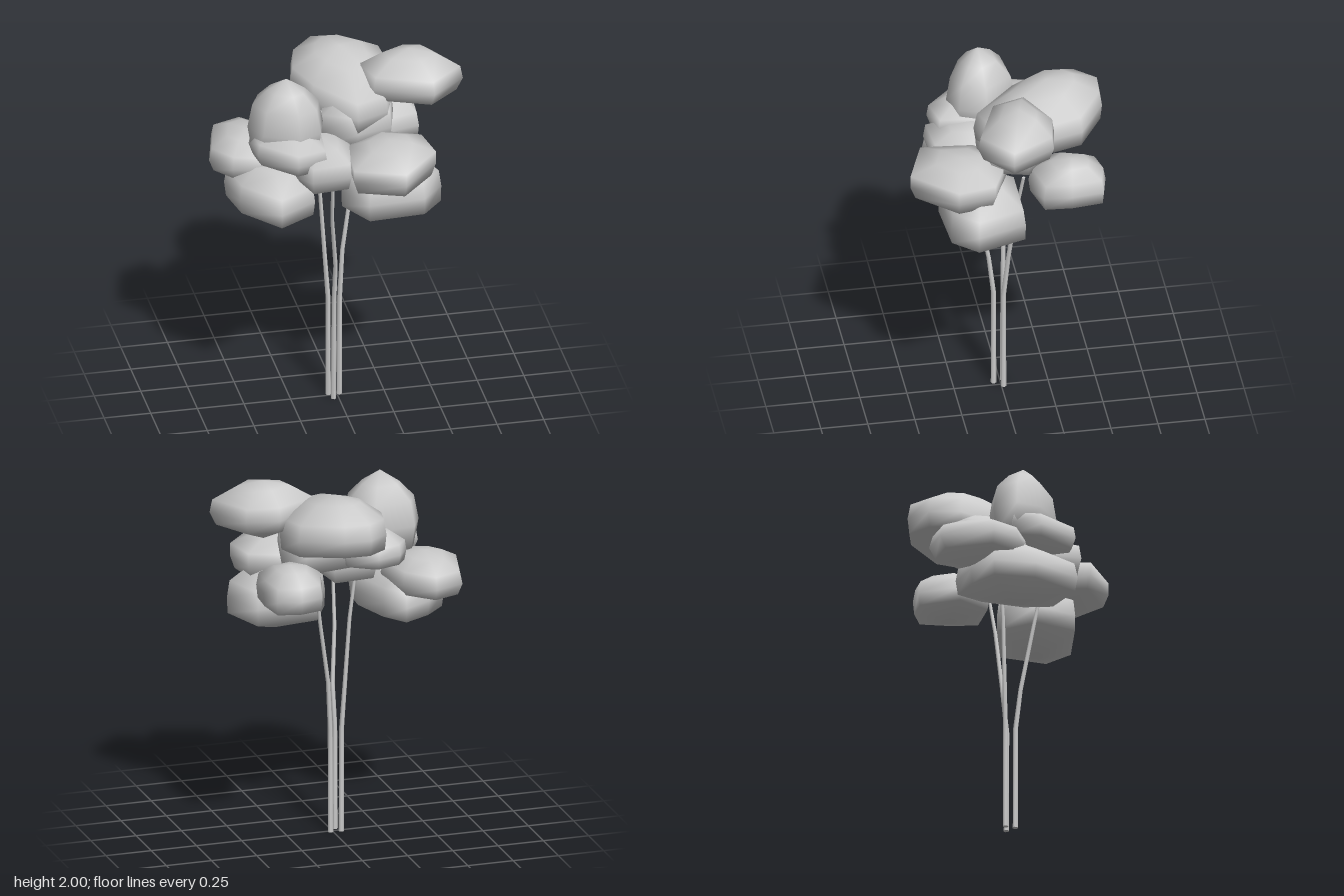
import * as THREE from 'three';

const material = new THREE.MeshStandardMaterial({ color: 0xcccccc });

// Faceted leaf clump: a plan outline [x, z] stacked into rings between two tips.
// y = [bottom, lower ring, upper ring, top]; slope tilts the clump along z,
// cap is how far the small top ring rises towards the tip.
function clump(name, outline, y, { upper = 0.95, lower = 0.92, slope = 0, cap = 0.72 } = {}) {
  const n = outline.length;
  const cx = outline.reduce((s, p) => s + p[0], 0) / n;
  const cz = outline.reduce((s, p) => s + p[1], 0) / n;
  const [bottom, low, high, top] = y;
  const rings = [
    [lower, low],
    [1, low + (high - low) * 0.5],
    [upper, high],
    [0.5, high + (top - high) * cap],
  ];
  const pos = [];
  const index = [];
  for (const [scale, h] of rings) {
    for (const [x, z] of outline) {
      const dz = (z - cz) * scale;
      pos.push(cx + (x - cx) * scale, Math.min(h + slope * dz, top), cz + dz);
    }
  }
  const bottomTip = pos.length / 3;
  pos.push(cx, bottom, cz, cx, top, cz);
  const last = (rings.length - 1) * n;
  for (let i = 0; i < n; i++) {
    const j = (i + 1) % n;
    for (let r = 0; r < last; r += n) {
      index.push(r + i, r + n + i, r + j, r + j, r + n + i, r + n + j);
    }
    index.push(bottomTip, i, j, last + i, bottomTip + 1, last + j);
  }
  const geo = new THREE.BufferGeometry();
  geo.setAttribute('position', new THREE.Float32BufferAttribute(pos, 3));
  geo.setIndex(index);
  geo.computeVertexNormals();
  const mesh = new THREE.Mesh(geo, material);
  mesh.name = name;
  return mesh;
}

// Thin stem: a cylinder whose rings are moved onto the path and tapered.
function stem(name, path) {
  const steps = path.length - 1;
  const geo = new THREE.CylinderGeometry(1, 1, 1, 7, steps);
  const p = geo.attributes.position;
  for (let i = 0; i < p.count; i++) {
    const k = Math.round((p.getY(i) + 0.5) * steps);
    const [x, y, z] = path[k];
    const r = 0.015 - 0.0015 * k;
    p.setXYZ(i, x + p.getX(i) * r, y, z + p.getZ(i) * r);
  }
  geo.computeVertexNormals();
  const mesh = new THREE.Mesh(geo, material);
  mesh.name = name;
  return mesh;
}

export function createModel() {
  const tree = new THREE.Group();
  tree.name = 'tree';

  // Three slender stems spreading towards the crown
  const stems = new THREE.Group();
  stems.name = 'stems';
  stems.add(
    stem('leftStem', [[0.013, 0, -0.012], [0.015, 0.57, -0.01], [0.035, 0.84, -0.035], [0.09, 1.18, -0.07], [0.12, 1.38, -0.1]]),
    stem('frontStem', [[-0.027, 0, 0.035], [-0.025, 0.57, 0.035], [-0.022, 0.8, 0.062], [-0.052, 1.1, 0.12], [-0.06, 1.36, 0.17]]),
    stem('rightStem', [[-0.045, 0, -0.016], [-0.045, 0.57, -0.018], [-0.062, 0.82, -0.022], [-0.085, 1.18, -0.03], [-0.12, 1.52, -0.05]]),
  );

  // Overlapping leaf clumps
  const crown = new THREE.Group();
  crown.name = 'crown';
  crown.add(
    clump('topLeftClump',
      [[0.665, 0.04], [0.48, 0.2], [0.18, 0.08], [0.12, -0.1], [0.36, -0.22], [0.54, -0.19]],
      [1.68, 1.76, 1.9, 2.0], { upper: 0.95, lower: 0.88 }),
    clump('topBackClump',
      [[0.34, -0.15], [0.25, 0.1], [0.08, 0.16], [-0.12, -0.07], [-0.2, -0.25], [-0.16, -0.42], [-0.04, -0.53], [0.1, -0.52], [0.31, -0.38]],
      [1.63, 1.66, 1.83, 1.95], { upper: 0.95, lower: 0.97, slope: -0.12 }),
    clump('innerClump',
      [[0.32, -0.1], [0.27, 0.1], [0.08, 0.15], [-0.1, 0.06], [-0.06, -0.2], [0.22, -0.23]],
      [1.45, 1.52, 1.7, 1.78]),
    // Bridge joining the two tall clumps behind the middle
    clump('bridgeClump',
      [[0, 0.02], [-0.15, 0.08], [-0.31, -0.05], [-0.34, -0.21], [-0.28, -0.29], [-0.15, -0.33], [0, -0.24]],
      [1.48, 1.54, 1.65, 1.72], { lower: 0.94 }),
    clump('topRightClump',
      [[-0.09, 0.06], [-0.13, 0.2], [-0.25, 0.25], [-0.43, 0.17], [-0.49, 0.04], [-0.43, -0.08], [-0.2, -0.11]],
      [1.46, 1.54, 1.8, 1.95], { upper: 0.88, lower: 0.9, cap: 0.55 }),
    clump('frontRightClump',
      [[-0.1, 0.08], [-0.12, 0.31], [-0.28, 0.35], [-0.46, 0.17], [-0.48, 0.02], [-0.22, -0.06]],
      [1.45, 1.5, 1.62, 1.68], { lower: 0.9 }),
    clump('lowRightClump',
      [[-0.16, 0.08], [-0.17, 0.24], [-0.37, 0.36], [-0.55, 0.14], [-0.59, -0.08], [-0.47, -0.2], [-0.32, -0.28], [-0.23, -0.15]],
      [1.14, 1.21, 1.37, 1.47], { lower: 0.96 }),
    clump('outerRightClump',
      [[-0.25, -0.05], [-0.4, 0.1], [-0.57, 0.05], [-0.67, -0.08], [-0.6, -0.36], [-0.44, -0.42], [-0.3, -0.28]],
      [1.3, 1.36, 1.49, 1.56], { upper: 0.93, lower: 0.88 }),
    clump('middleClump',
      [[0.05, 0.15], [0, 0.36], [-0.21, 0.38], [-0.28, 0.15], [-0.22, -0.08], [0.02, -0.1]],
      [1.32, 1.4, 1.55, 1.61], { lower: 0.9 }),
    clump('frontLeftClump',
      [[0.465, 0.3], [0.26, 0.525], [0, 0.43], [0.02, 0.15], [0.2, 0], [0.43, 0.1]],
      [1.35, 1.41, 1.55, 1.62], { upper: 1, lower: 0.9 }),
    clump('lowLeftClump',
      [[0.515, 0.2], [0.4, 0.33], [0.1, 0.35], [-0.01, 0.15], [0.1, -0.06], [0.43, -0.06]],
      [1.11, 1.2, 1.38, 1.5], { upper: 0.95, lower: 0.99 }),
    clump('backLeftClump',
      [[0.48, -0.3], [0.47, -0.15], [0.27, -0.1], [0.14, -0.25], [0.21, -0.47], [0.33, -0.5], [0.46, -0.47]],
      [1.35, 1.4, 1.54, 1.62], { upper: 0.93, lower: 0.96 }),
  );

  tree.add(stems, crown);
  return tree;
}
